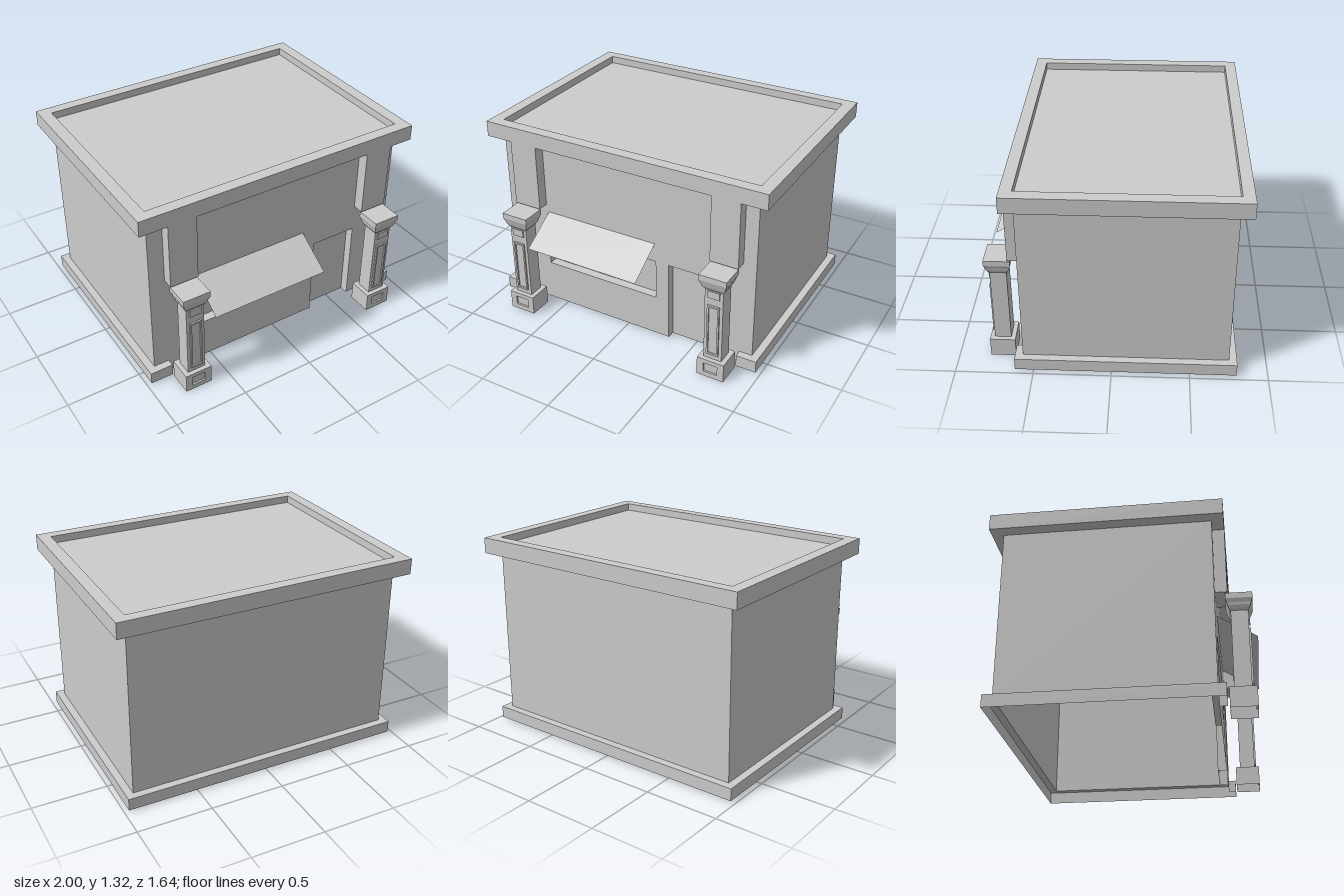
import * as THREE from 'three';

const grey = new THREE.MeshStandardMaterial({ color: 0xcccccc, side: THREE.DoubleSide });
grey.name = 'plain grey';

function add(parent, name, geometry) {
  const mesh = new THREE.Mesh(geometry, grey);
  mesh.name = name;
  parent.add(mesh);
  return mesh;
}

// Box between two corners without the sides listed in open; inward turns it inside out
const SIDES = ['+x', '-x', '+y', '-y', '+z', '-z'];
function shell([x0, x1], [y0, y1], [z0, z1], open = [], inward = false) {
  const g = new THREE.BoxGeometry(x1 - x0, y1 - y0, z1 - z0);
  g.translate((x0 + x1) / 2, (y0 + y1) / 2, (z0 + z1) / 2);
  const all = Array.from(g.index.array);
  const kept = [];
  SIDES.forEach((side, i) => {
    if (!open.includes(side)) kept.push(...all.slice(i * 6, i * 6 + 6));
  });
  if (inward) {
    kept.reverse();
    const n = g.attributes.normal;
    for (let i = 0; i < n.array.length; i++) n.array[i] *= -1;
  }
  g.setIndex(kept);
  g.clearGroups();
  return g;
}

// Stack of rectangular sections [x0, x1, z0, z1, y], closed at the last one
function stack(sections) {
  const rings = sections.map(([x0, x1, z0, z1, y]) => [
    [x0, y, z1], [x1, y, z1], [x1, y, z0], [x0, y, z0],
  ]);
  const points = [];
  const quad = (a, b, c, d) => points.push(...a, ...b, ...c, ...a, ...c, ...d);
  for (let i = 0; i < rings.length - 1; i++) {
    for (let j = 0; j < 4; j++) {
      const k = (j + 1) % 4;
      quad(rings[i][j], rings[i][k], rings[i + 1][k], rings[i + 1][j]);
    }
  }
  quad(...rings[rings.length - 1]);
  const g = new THREE.BufferGeometry();
  g.setAttribute('position', new THREE.Float32BufferAttribute(points, 3));
  g.computeVertexNormals();
  return g;
}

const rectangle = ([x0, x1], [y0, y1]) => [[x0, y0], [x1, y0], [x1, y1], [x0, y1]]
  .map(([x, y]) => new THREE.Vector2(x, y));

// Flat upright face at depth z with one rectangular opening
function faceWithHole(outline, holeX, holeY, z) {
  const shape = new THREE.Shape(outline);
  shape.holes.push(new THREE.Path(rectangle(holeX, holeY)));
  return new THREE.ShapeGeometry(shape).translate(0, 0, z);
}

function createColumn(cx) {
  const column = new THREE.Group();
  column.name = 'column';
  const cz = 0.7125;
  const across = (h) => [-h, h];
  const section = (hx, hz, y) => [-hx, hx, cz - hz, cz + hz, y];

  // Base block with a sunken front panel, open underneath
  add(column, 'columnBase', shell(across(0.093), [0, 0.13], [cz - 0.082, cz + 0.082], ['-y', '+z']));
  add(column, 'baseFront', faceWithHole(rectangle(across(0.093), [0, 0.13]),
    across(0.048), [0.035, 0.1], cz + 0.082));
  add(column, 'basePanel', shell(across(0.048), [0.035, 0.1], [cz + 0.07, cz + 0.082], ['+z'], true));

  // Shaft and flared capital
  add(column, 'shaftAndCapital', stack([
    section(0.062, 0.053, 0.13),
    section(0.062, 0.053, 0.645),
    section(0.072, 0.063, 0.658),
    section(0.08, 0.07, 0.675),
    section(0.084, 0.075, 0.692),
    section(0.094, 0.083, 0.715),
    section(0.094, 0.083, 0.752),
  ]));

  // Raised frame on the shaft with a sunken centre, and a small plate at the neck
  const back = cz + 0.053, front = cz + 0.064;
  add(column, 'shaftFrameSides', shell(across(0.041), [0.165, 0.535], [back, front], ['+z', '-z']));
  add(column, 'shaftFrameFront', faceWithHole(rectangle(across(0.041), [0.165, 0.535]),
    across(0.03), [0.178, 0.522], front));
  add(column, 'shaftPanel', shell(across(0.03), [0.178, 0.522], [back + 0.001, front], ['+z'], true));
  add(column, 'neckPlate', shell(across(0.041), [0.59, 0.64], [back, front - 0.002], ['-z']));

  column.position.x = cx;
  return column;
}

export function createModel() {
  const shop = new THREE.Group();
  shop.name = 'shop';
  const wallX = [-0.92, 0.92], wallZ = [-0.75, 0.57];
  const windowX = [-0.622, 0.22], windowY = [0.295, 0.575];
  const doorX = [0.313, 0.64], doorTop = 0.575;
  const pilasters = [[-0.815, -0.622], [0.64, 0.832]];
  const eaves = 1.21, pilasterFoot = 0.76, ground = 0.008, plinthTop = 0.09;

  // Side and back walls
  add(shop, 'walls', shell(wallX, [plinthTop, eaves], wallZ, ['+y', '-y', '+z']));

  // Front wall, notched for the door and the pilasters
  const [left, right] = pilasters;
  const outline = [
    [-0.92, plinthTop], [left[0], plinthTop], [left[0], ground],
    [doorX[0], ground], [doorX[0], doorTop], [doorX[1], doorTop], [doorX[1], ground],
    [right[1], ground], [right[1], plinthTop], [0.92, plinthTop], [0.92, eaves],
    [right[1], eaves], [right[1], pilasterFoot], [right[0], pilasterFoot], [right[0], eaves],
    [left[1], eaves], [left[1], pilasterFoot], [left[0], pilasterFoot], [left[0], eaves],
    [-0.92, eaves],
  ].map(([x, y]) => new THREE.Vector2(x, y));
  add(shop, 'frontWall', faceWithHole(outline, windowX, windowY, wallZ[1]));

  // Recessed window and door
  const recess = [0.51, wallZ[1]];
  add(shop, 'window', shell(windowX, windowY, recess, ['+z'], true));
  add(shop, 'door', shell(doorX, [0, doorTop], recess, ['+z', '-y'], true));

  // Hanging pilasters above the columns
  for (const x of pilasters) {
    add(shop, 'pilaster', shell(x, [pilasterFoot, eaves], [wallZ[1], 0.645], ['-z', '+y']));
  }

  // Plinth around the sides, the back and the front corners
  const plinthY = [ground, plinthTop];
  add(shop, 'plinthLeft', shell([0.92, 0.97], plinthY, [-0.8, 0.62], ['-y', '-x']));
  add(shop, 'plinthRight', shell([-0.97, -0.92], plinthY, [-0.8, 0.62], ['-y', '+x']));
  add(shop, 'plinthBack', shell(wallX, plinthY, [-0.8, -0.75], ['-y', '+z', '+x', '-x']));
  add(shop, 'plinthCorner', shell([right[1], 0.92], plinthY, [0.57, 0.62], ['-y', '-z', '+x']));
  add(shop, 'plinthCorner', shell([-0.92, left[0]], plinthY, [0.57, 0.62], ['-y', '-z', '-x']));

  // Overhanging roof with a sunken top
  add(shop, 'roof', stack([
    [...wallX, ...wallZ, eaves],
    [-1, 1, -0.825, 0.645, eaves],
    [-1, 1, -0.825, 0.645, 1.315],
    [...wallX, -0.75, 0.568, 1.315],
    [...wallX, -0.75, 0.568, 1.265],
  ]));

  // Sloping awning sheet above the window
  const run = 0.248, drop = 0.157;
  const awning = add(shop, 'awning', new THREE.PlaneGeometry(0.82, Math.hypot(run, drop)));
  awning.rotation.x = -Math.atan2(run, drop);
  awning.position.set(-0.195, 0.63, 0.572 + run / 2);

  for (const x of [-0.72, 0.736]) shop.add(createColumn(x));
  return shop;
}
